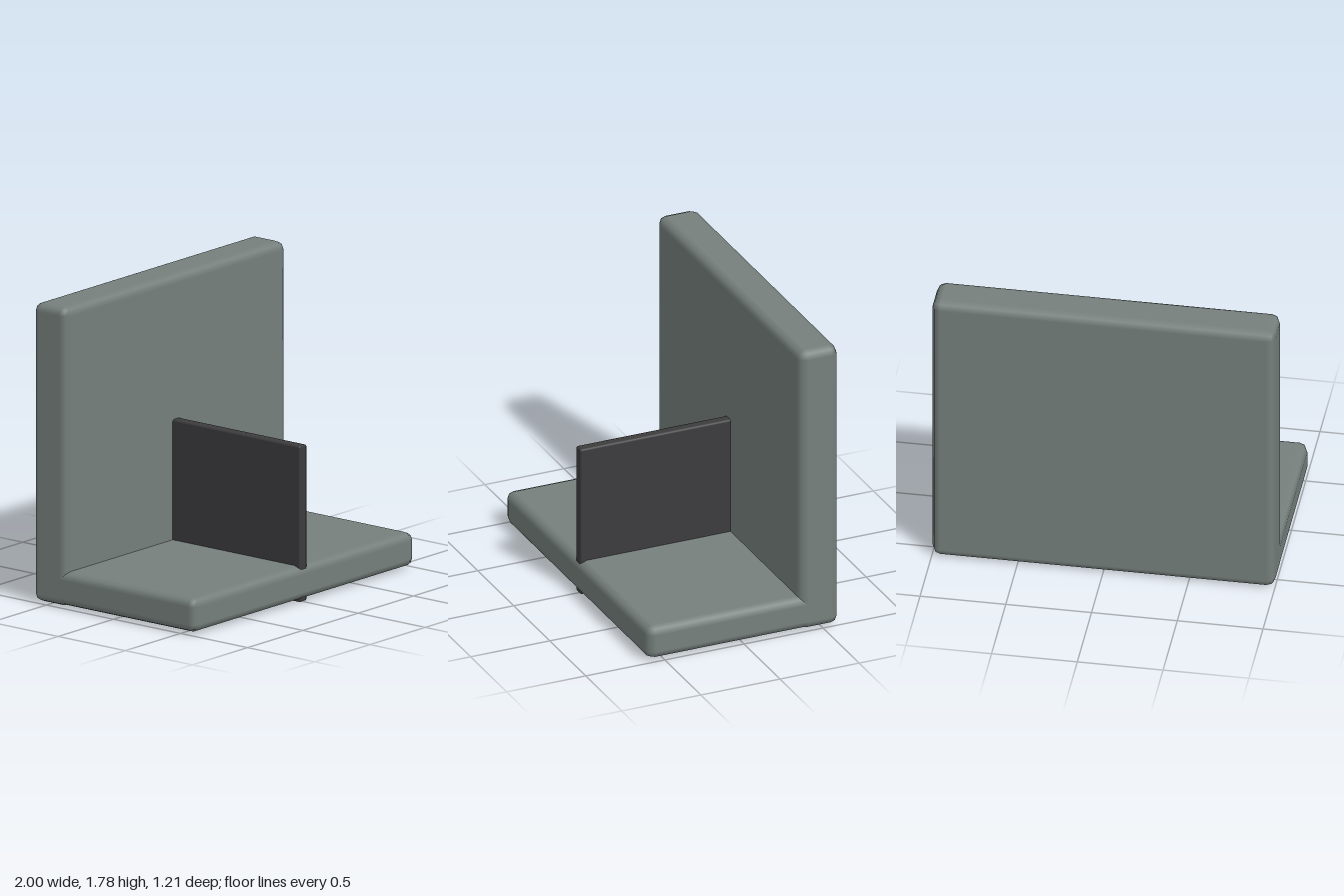
import * as THREE from 'three';
import { RoundedBoxGeometry } from 'three/addons/geometries/RoundedBoxGeometry.js';

// Soft-edged slab given by its lower and upper corners
function slab(name, min, max, radius, material) {
  const lo = new THREE.Vector3(...min);
  const hi = new THREE.Vector3(...max);
  const size = hi.clone().sub(lo);
  const mesh = new THREE.Mesh(new RoundedBoxGeometry(size.x, size.y, size.z, 1, radius), material);
  mesh.position.copy(lo).add(hi).multiplyScalar(0.5);
  mesh.name = name;
  return mesh;
}

export function createModel() {
  const group = new THREE.Group();
  group.name = 'seatWithDivider';
  const padding = new THREE.MeshStandardMaterial({ color: 0x76807c });
  const dark = new THREE.MeshStandardMaterial({ color: 0x3c3c3e });

  // Seat slab, reaching into the backrest
  group.add(slab('seat', [-1, 0.01, -0.57], [1, 0.215, 0.605], 0.05, padding));
  // Upright backrest
  group.add(slab('backrest', [-1, 0.005, -0.605], [1, 1.785, -0.355], 0.05, padding));
  // Thin central divider, passing through the seat and just showing below
  group.add(slab('divider', [-0.033, 0, -0.45], [0.033, 0.93, 0.593], 0.012, dark));

  return group;
}
